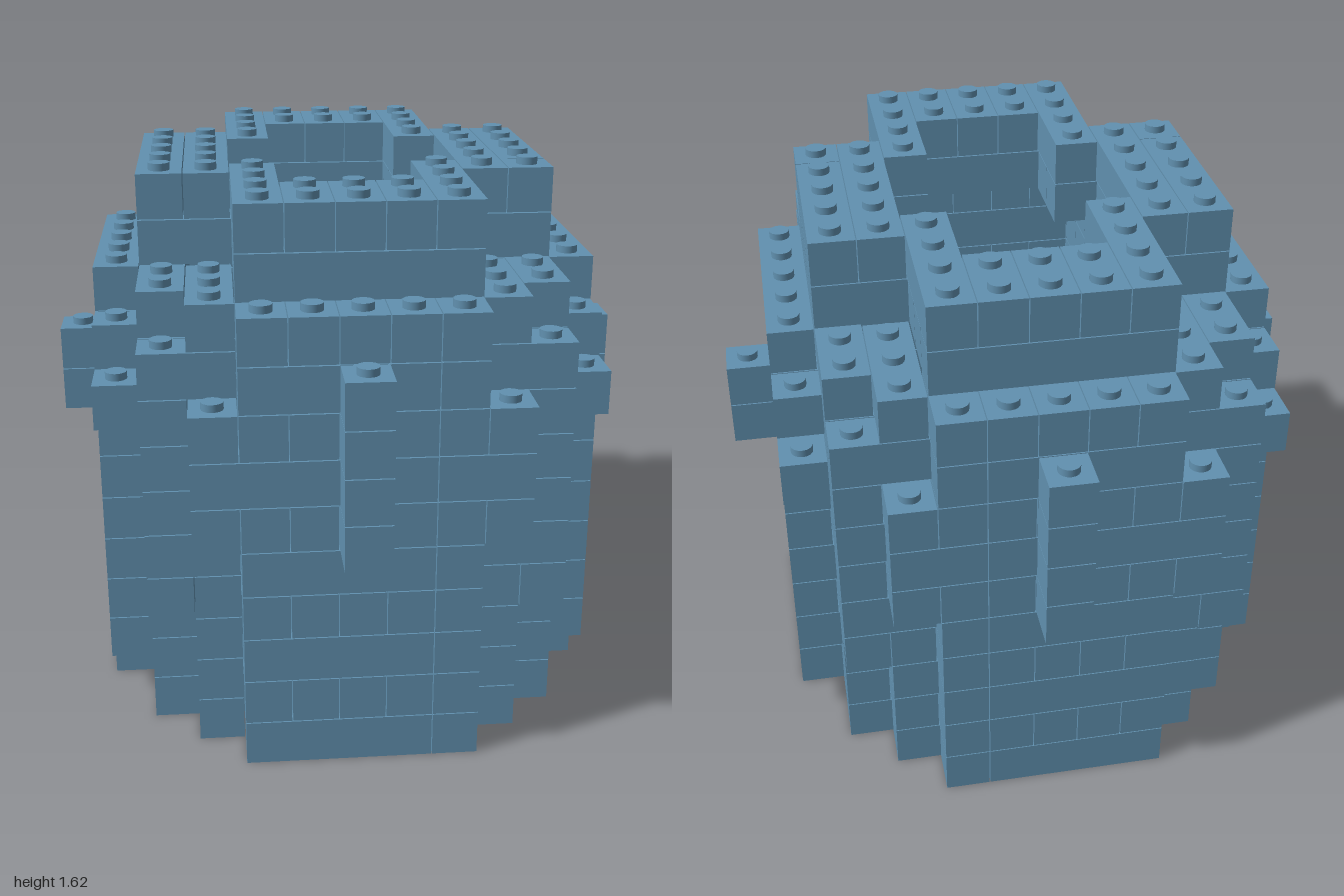
import * as THREE from 'three';
import { mergeGeometries } from 'three/addons/utils/BufferGeometryUtils.js';

const U = 2 / 15;      // one stud pitch, also one course height
const GAP = 0.003;     // joint between bricks
const COURSES = 12;

// Half depth of the stepped plan for each |x|, in studs
const BODY = [6, 6, 6, 5, 4, 2];
const RIM = [5, 5, 5, 2, 2];
const CAVITY = [4, 4, 4, 2];

// Columns standing in the stepped corners: |x|, |z|, first course, end course
const CORNER_COLUMNS = [[3, 6, 5, 8], [4, 5, 3, 9], [5, 4, 7, 8], [5, 3, 1, 9]];
// Lugs on the middle of each side
const LUGS = [[0, 7, 5, 9], [6, 0, 6, 8]];

const within = (plan, ax, az) => ax < plan.length && az <= plan[ax];
const inColumns = (list, ax, az, y) =>
  list.some(([cx, cz, a, b]) => ax === cx && az === cz && y >= a && y < b);

// Is the stud cell x, z filled in course y?
function filled(x, z, y) {
  const ax = Math.abs(x), az = Math.abs(z);
  if (y < 0 || y >= COURSES) return false;
  if (y >= 10) {
    // rim: open in the middle, with thick inner corners
    const open = ax <= 2 && az <= 3 && !(ax === 2 && az >= 2);
    return within(RIM, ax, az) && !open;
  }
  if (inColumns(CORNER_COLUMNS, ax, az, y) || inColumns(LUGS, ax, az, y)) return true;
  if (y >= 3 && within(CAVITY, ax, az)) return false;
  return within(BODY, ax, az);
}

const isLug = (x, z) => Math.abs(x) === 6 || Math.abs(z) === 7;

// A brick covering x0..x1 by z0..z1 studs in course y
function brick(x0, x1, z0, z1, y) {
  return new THREE.BoxGeometry((x1 - x0 + 1) * U - GAP, U - GAP, (z1 - z0 + 1) * U - GAP)
    .translate((x0 + x1) / 2 * U, (y + 0.5) * U, (z0 + z1) / 2 * U);
}

function stud(x, z, y) {
  return new THREE.CylinderGeometry(0.031, 0.031, 0.022, 16)
    .translate(x * U, (y + 1) * U + 0.009, z * U);
}

// Rows of bricks, running across on even courses and front to back on odd ones
function courseBricks(y) {
  const parts = [];
  const across = y % 2 === 0;
  for (let row = -6; row <= 6; row++) {
    let start = null;
    for (let i = -7; i <= 7; i++) {
      const has = j => {
        const [x, z] = across ? [j, row] : [row, j];
        return filled(x, z, y) && !isLug(x, z);
      };
      if (!has(i)) continue;
      if (start === null) start = i;
      // end the brick at an edge or at the staggered joint
      const joint = i === (row % 2 ? -3 : 1);
      if (!has(i + 1) || joint) {
        parts.push(across ? brick(start, i, row, row, y) : brick(row, row, start, i, y));
        start = null;
      }
    }
  }
  return parts;
}

export function createModel() {
  const blue = new THREE.MeshStandardMaterial({ color: 0x6191b0 });
  blue.name = 'dusty blue';
  const model = new THREE.Group();
  model.name = 'brickBarrel';
  const add = (name, parts) => {
    if (!parts.length) return;
    const mesh = new THREE.Mesh(mergeGeometries(parts), blue);
    mesh.name = name;
    model.add(mesh);
  };

  // Stacked courses and the studs left exposed on each
  for (let y = 0; y < COURSES; y++) {
    add((y < 3 ? 'baseCourse' : y < 10 ? 'wallCourse' : 'rimCourse') + (y + 1), courseBricks(y));
    const studs = [];
    for (let x = -6; x <= 6; x++) for (let z = -7; z <= 7; z++) {
      if (filled(x, z, y) && !filled(x, z, y + 1)) studs.push(stud(x, z, y));
    }
    add('studs' + (y + 1), studs);
  }

  // Lugs on the four sides
  for (const [lx, lz, from, to] of LUGS) {
    for (const s of [1, -1]) {
      const parts = [];
      for (let y = from; y < to; y++) parts.push(brick(lx * s, lx * s, lz * s, lz * s, y));
      const name = lx ? (s > 0 ? 'leftLug' : 'rightLug') : (s > 0 ? 'frontLug' : 'backLug');
      add(name, parts);
    }
  }
  return model;
}
